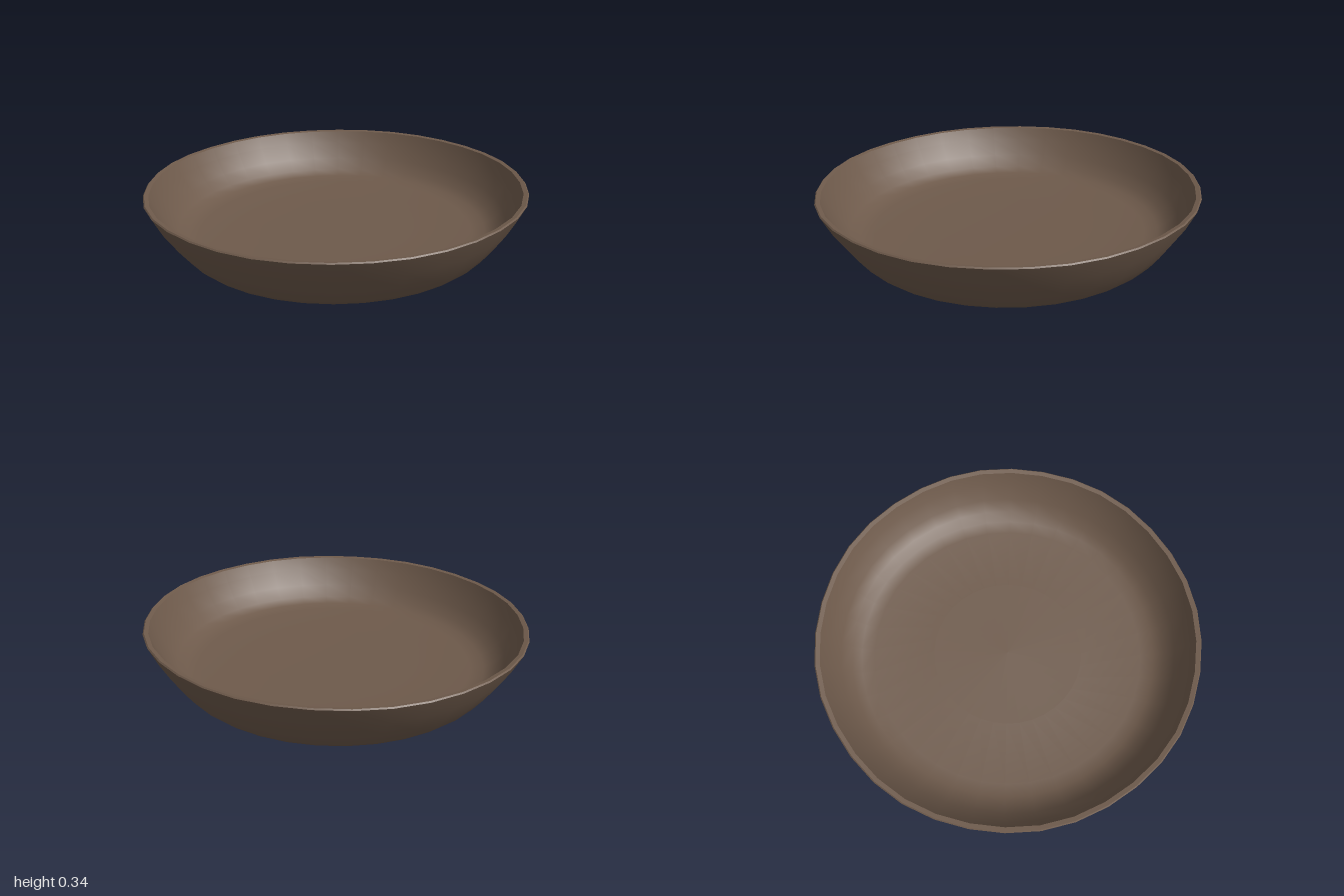
import * as THREE from 'three';
import { toCreasedNormals } from 'three/addons/utils/BufferGeometryUtils.js';

const SIDES = 36;
const TILT = 0.0175; // the dish leans slightly towards -x

// Turn a profile of [radius, height] pairs, then lean it and make it a little uneven
function turned(name, profile, material) {
  const points = profile.map(([r, y]) => new THREE.Vector2(r, y));
  const geometry = new THREE.LatheGeometry(points, SIDES);
  const p = geometry.attributes.position;
  for (let i = 0; i < p.count; i++) {
    const x = p.getX(i), y = p.getY(i), z = p.getZ(i);
    const a = Math.atan2(z, x);
    const rise = Math.max(0, y / 0.327);
    const wobble = 1 - 0.004 * rise * (1 + Math.sin(5 * a + 1) * Math.cos(3 * a));
    p.setXYZ(i, x * wobble + 0.01 * (1 - rise), y + TILT * x, z * wobble);
  }
  const mesh = new THREE.Mesh(toCreasedNormals(geometry, 0.75), material);
  mesh.name = name;
  return mesh;
}

export function createModel() {
  const model = new THREE.Group();
  model.name = 'shallowDish';
  const clay = new THREE.MeshStandardMaterial({ color: 0x6e5a4b });
  clay.name = 'brown clay';

  // Underside, flared wall, thin rim and inner floor in one closed profile
  model.add(turned('dishBody', [
    [0, 0.042], [0.45, 0.042], [0.68, 0.036], [0.71, 0.015], [0.755, 0.014],
    [0.79, 0.024], [0.825, 0.053], [0.88, 0.122], [0.95, 0.222], [1.003, 0.322],
    [0.997, 0.328], [0.975, 0.324], [0.945, 0.26], [0.89, 0.175], [0.84, 0.118],
    [0.79, 0.09], [0.72, 0.08], [0.4, 0.075], [0, 0.075],
  ], clay));

  // Small raised ring in the middle of the underside
  model.add(turned('undersideRing', [
    [0.2, 0.044], [0.225, 0.026], [0.24, 0.022], [0.255, 0.026], [0.265, 0.044],
  ], clay));

  return model;
}
